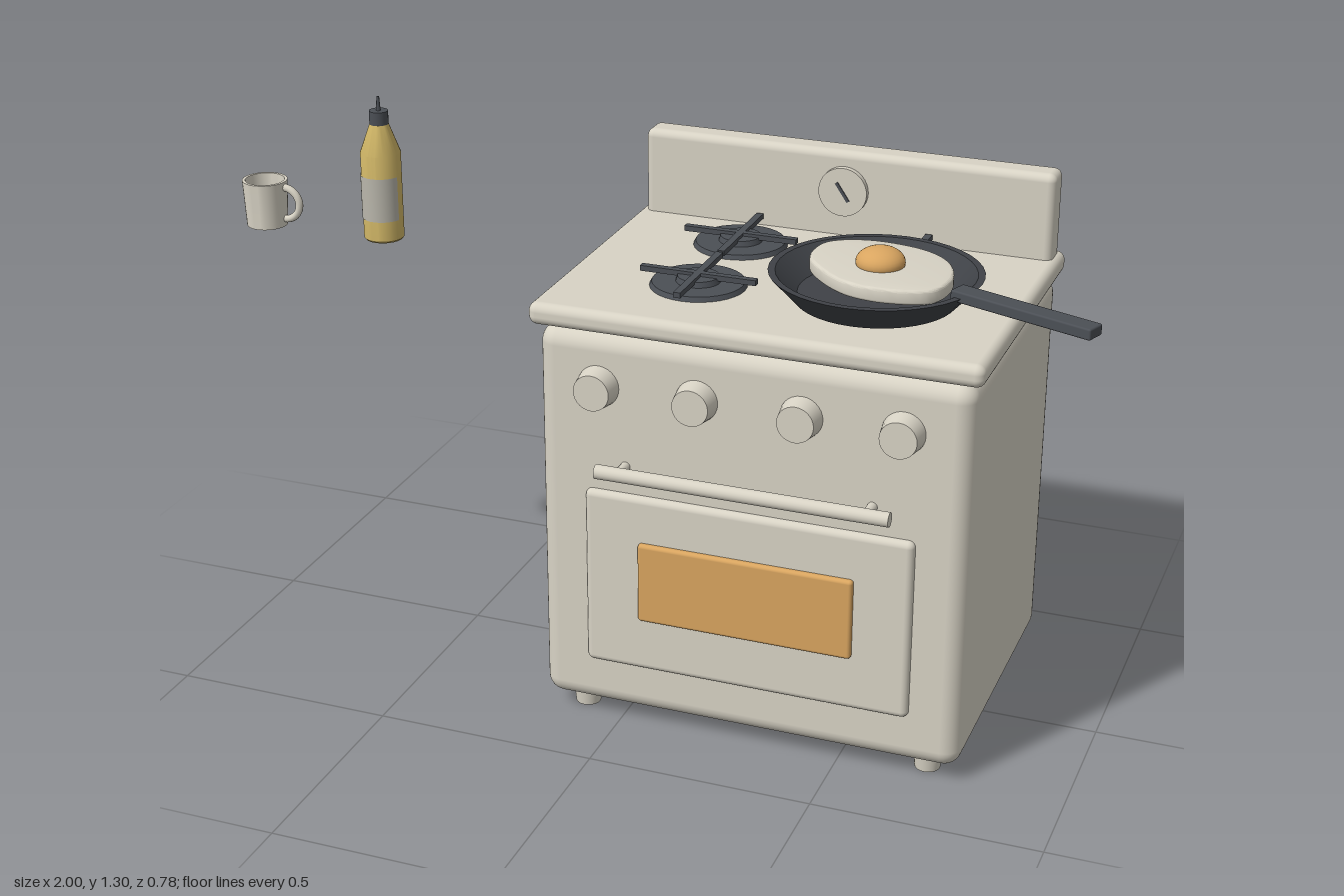
import * as THREE from 'three';
import { RoundedBoxGeometry } from 'three/addons/geometries/RoundedBoxGeometry.js';
import { toCreasedNormals } from 'three/addons/utils/BufferGeometryUtils.js';

const material = (name, color, side = THREE.FrontSide) => {
  const m = new THREE.MeshStandardMaterial({ color, side });
  m.name = name;
  return m;
};

export function createModel() {
  const cream = material('cream enamel', 0xd8d3c5);
  const orange = material('warm orange', 0xd9a560);
  const iron = material('dark iron', 0x4b4f55);
  const panIron = material('pan black', 0x3f4247);
  const mustard = material('mustard', 0xcfb566);
  const paper = material('label grey', 0xb9b6ab, THREE.DoubleSide);

  const model = new THREE.Group();
  const add = (name, geometry, mat, x = 0, y = 0, z = 0, parent = model) => {
    const mesh = new THREE.Mesh(geometry, mat);
    mesh.name = name;
    mesh.position.set(x, y, z);
    parent.add(mesh);
    return mesh;
  };
  // Rounded box given by its limits on each axis
  const block = (name, mat, [x0, x1], [y0, y1], [z0, z1], r) =>
    add(name, new RoundedBoxGeometry(x1 - x0, y1 - y0, z1 - z0, 4, r), mat,
      (x0 + x1) / 2, (y0 + y1) / 2, (z0 + z1) / 2);
  const lathe = (points, segments = 40) => toCreasedNormals(
    new THREE.LatheGeometry(points.map(([r, y]) => new THREE.Vector2(r, y)), segments), 0.5);

  // Cabinet, hob and splashback
  block('cabinet', cream, [-0.18, 0.77], [0.035, 0.92], [-0.38, 0.33], 0.04);
  block('hob', cream, [-0.2, 0.785], [0.92, 0.97], [-0.39, 0.335], 0.02);
  block('splashback', cream, [-0.18, 0.77], [0.95, 1.165], [-0.375, -0.302], 0.018);

  // Feet
  for (const x of [-0.1, 0.69]) for (const z of [-0.315, 0.265])
    add('foot', new THREE.CylinderGeometry(0.034, 0.028, 0.055, 20), cream, x, 0.0275, z);

  // Oven door, window and handle
  block('ovenDoor', cream, [-0.07, 0.66], [0.15, 0.565], [0.3, 0.345], 0.015);
  block('ovenWindow', orange, [0.055, 0.535], [0.275, 0.46], [0.33, 0.357], 0.008);
  add('ovenHandle', new THREE.CylinderGeometry(0.016, 0.016, 0.645, 20), cream, 0.293, 0.627, 0.375)
    .rotation.z = Math.PI / 2;
  for (const x of [0.02, 0.565])
    add('handlePost', new THREE.CylinderGeometry(0.011, 0.011, 0.06, 14), cream, x, 0.627, 0.348)
      .rotation.x = Math.PI / 2;

  // Control knobs
  for (const x of [-0.04, 0.18, 0.408, 0.625])
    add('knob', new THREE.CylinderGeometry(0.04, 0.047, 0.045, 28), cream, x, 0.803, 0.35)
      .rotation.x = Math.PI / 2;

  // Clock dial with its hand
  add('dial', new THREE.CylinderGeometry(0.056, 0.056, 0.02, 32), cream, 0.295, 1.075, -0.298)
    .rotation.x = Math.PI / 2;
  add('dialHand', new THREE.BoxGeometry(0.007, 0.05, 0.004), iron, 0.295, 1.075, -0.287)
    .rotation.z = 0.6;

  // Burners with crossed grates
  for (const x of [0.1, 0.495]) for (const z of [-0.165, 0.105]) {
    const burner = new THREE.Group();
    burner.name = 'burner';
    burner.position.set(x, 0.97, z);
    add('burnerPlate', new THREE.CylinderGeometry(0.1, 0.105, 0.01, 32), iron, 0, 0.005, 0, burner);
    add('burnerCap', new THREE.CylinderGeometry(0.045, 0.05, 0.016, 28), iron, 0, 0.014, 0, burner);
    add('grateBar', new THREE.BoxGeometry(0.262, 0.012, 0.016), iron, 0, 0.023, 0, burner);
    add('grateBar', new THREE.BoxGeometry(0.016, 0.012, 0.262), iron, 0, 0.023, 0, burner);
    model.add(burner);
  }

  // Frying pan
  add('pan', lathe([[0, 0], [0.17, 0], [0.225, 0.06], [0.21, 0.06], [0.163, 0.012], [0, 0.012]], 40),
    panIron, 0.492, 0.994, 0.105);
  add('panHandle', new RoundedBoxGeometry(0.33, 0.024, 0.045, 2, 0.004), iron, 0.834, 1.056, 0.226)
    .rotation.y = -0.35;

  // Fried egg
  const outline = [[0.43, -0.03], [0.56, -0.015], [0.63, 0.04], [0.66, 0.13], [0.64, 0.21],
    [0.56, 0.24], [0.47, 0.23], [0.39, 0.17], [0.345, 0.1], [0.355, 0.01]]
    .map(([x, z]) => new THREE.Vector3(x, z, 0));
  const rim = new THREE.CatmullRomCurve3(outline, true).getPoints(60).slice(0, -1);
  const white = new THREE.ExtrudeGeometry(new THREE.Shape(rim.map(p => new THREE.Vector2(p.x, p.y))), {
    depth: 0.02, bevelThickness: 0.006, bevelSize: 0.006, bevelOffset: -0.006, bevelSegments: 3 });
  white.rotateX(Math.PI / 2);
  add('eggWhite', toCreasedNormals(white, 0.7), cream, 0, 1.064, 0);
  add('eggYolk', new THREE.SphereGeometry(0.052, 28, 18), orange, 0.5, 1.076, 0.105).scale.y = 0.62;

  // Sauce bottle
  const bottle = new THREE.Group();
  bottle.name = 'bottle';
  bottle.position.set(-0.66, 0.97, 0.078);
  add('bottleBody', lathe([[0, 0], [0.042, 0], [0.045, 0.004], [0.045, 0.2], [0.021, 0.265], [0, 0.265]], 32),
    mustard, 0, 0, 0, bottle);
  add('bottleCap', new THREE.CylinderGeometry(0.021, 0.021, 0.032, 24), iron, 0, 0.279, 0, bottle);
  add('bottleTip', new THREE.CylinderGeometry(0.003, 0.005, 0.032, 12), iron, 0, 0.311, 0, bottle);
  add('bottleLabel', new THREE.CylinderGeometry(0.0465, 0.0465, 0.1, 24, 1, true, -1.3, 2.6),
    paper, 0, 0.1, 0, bottle);
  model.add(bottle);

  // Mug with its ring handle
  const mug = new THREE.Group();
  mug.name = 'mug';
  mug.position.set(-0.949, 0.97, 0.092);
  add('mugCup', lathe([[0, 0], [0.046, 0], [0.051, 0.106], [0.044, 0.106], [0.04, 0.01], [0, 0.01]], 32),
    cream, 0, 0, 0, mug);
  add('mugHandle', new THREE.TorusGeometry(0.037, 0.0085, 12, 24, Math.PI), cream, 0.048, 0.055, 0, mug)
    .rotation.z = -Math.PI / 2;
  model.add(mug);

  return model;
}
